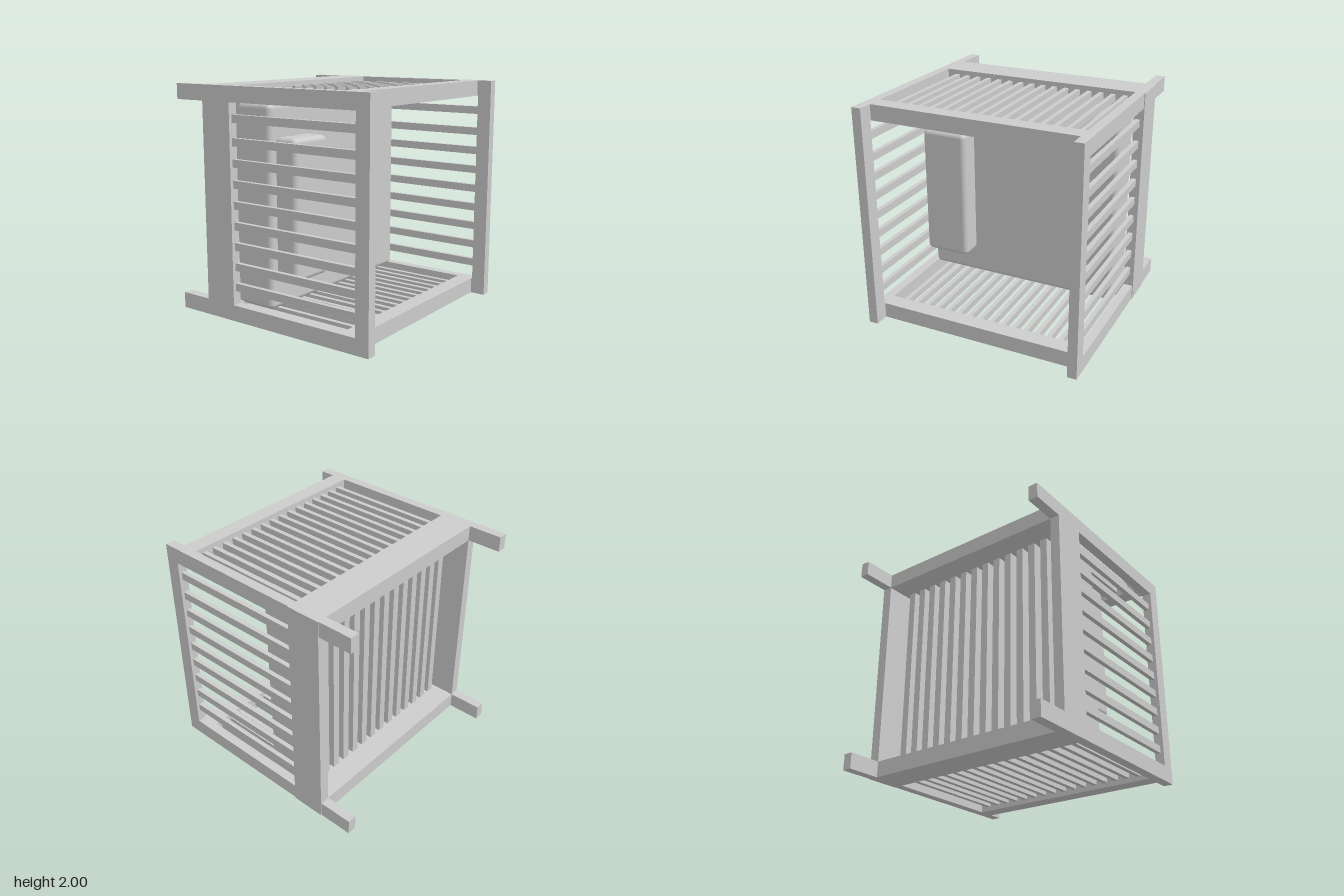
import * as THREE from 'three';
import { RoundedBoxGeometry } from 'three/addons/geometries/RoundedBoxGeometry.js';

const grey = new THREE.MeshStandardMaterial({ color: 0xcccccc });
grey.name = 'plainGrey';

export function createModel() {
  const model = new THREE.Group();
  model.name = 'slattedCrib';

  // Adds a block spanning the given ranges; a radius rounds its edges
  function block(name, [x0, x1], [y0, y1], [z0, z1], radius = 0, parent = model) {
    const size = [x1 - x0, y1 - y0, z1 - z0];
    const geometry = radius
      ? new RoundedBoxGeometry(...size, 3, radius)
      : new THREE.BoxGeometry(...size);
    const mesh = new THREE.Mesh(geometry, grey);
    mesh.name = name;
    mesh.position.set((x0 + x1) / 2, (y0 + y1) / 2, (z0 + z1) / 2);
    parent.add(mesh);
  }

  function group(name) {
    const g = new THREE.Group();
    g.name = name;
    model.add(g);
    return g;
  }

  // Side frames: two long beams, a front post, a wide back panel and level slats
  for (const side of [
    { name: 'left', outer: [0.91, 0.993], panel: [0.91, 1], slat: [0.925, 0.965] },
    { name: 'right', outer: [-1, -0.915], panel: [-1, -0.915], slat: [-0.97, -0.93] },
  ]) {
    const frame = group(side.name + 'SideFrame');
    block('lowerBeam', side.outer, [0, 0.14], [-1, 0.875], 0, frame);
    block('upperBeam', side.outer, [1.865, 2], [-1, 0.875], 0, frame);
    block('frontPost', side.outer, [0, 2], [0.875, 1], 0, frame);
    block('backPanel', side.panel, [0, 2], [-0.697, -0.393], 0, frame);
    for (let i = 0; i < 9; i++) {
      const y = i < 8 ? 0.294 + i * 0.1775 : 1.73;
      block('sideSlat', side.slat, [y - 0.034, y + 0.034], [-0.393, 0.875], 0, frame);
    }
  }

  // Top and bottom frames: front rail, deep back rail and slats running front to back
  for (const end of [
    { name: 'bottom', rail: [0, 0.14], slat: [0.04, 0.1] },
    { name: 'top', rail: [1.863, 2], slat: [1.9, 1.96] },
  ]) {
    const frame = group(end.name + 'Frame');
    block('frontRail', [-0.915, 0.91], end.rail, [0.722, 0.867], 0, frame);
    block('backRail', [-0.915, 0.91], end.rail, [-0.697, -0.395], 0, frame);
    for (let i = 0; i < 16; i++) {
      const x = -0.816 + i * 0.1094;
      block('endSlat', [x - 0.02, x + 0.02], end.slat, [-0.395, 0.722], 0, frame);
    }
  }

  // Upright slats supporting the mattress
  const base = group('mattressBase');
  for (let i = 0; i < 14; i++) {
    const x = -0.828 + i * 0.127;
    block('baseSlat', [x - 0.033, x + 0.033], [0.14, 1.863], [-0.49, -0.393], 0, base);
  }

  // Bedding
  block('mattress', [-0.915, 0.91], [0.14, 1.863], [-0.393, -0.035], 0.045);
  block('pillow', [-0.865, -0.44], [0.4, 1.592], [-0.03, 0.19], 0.045);

  return model;
}
